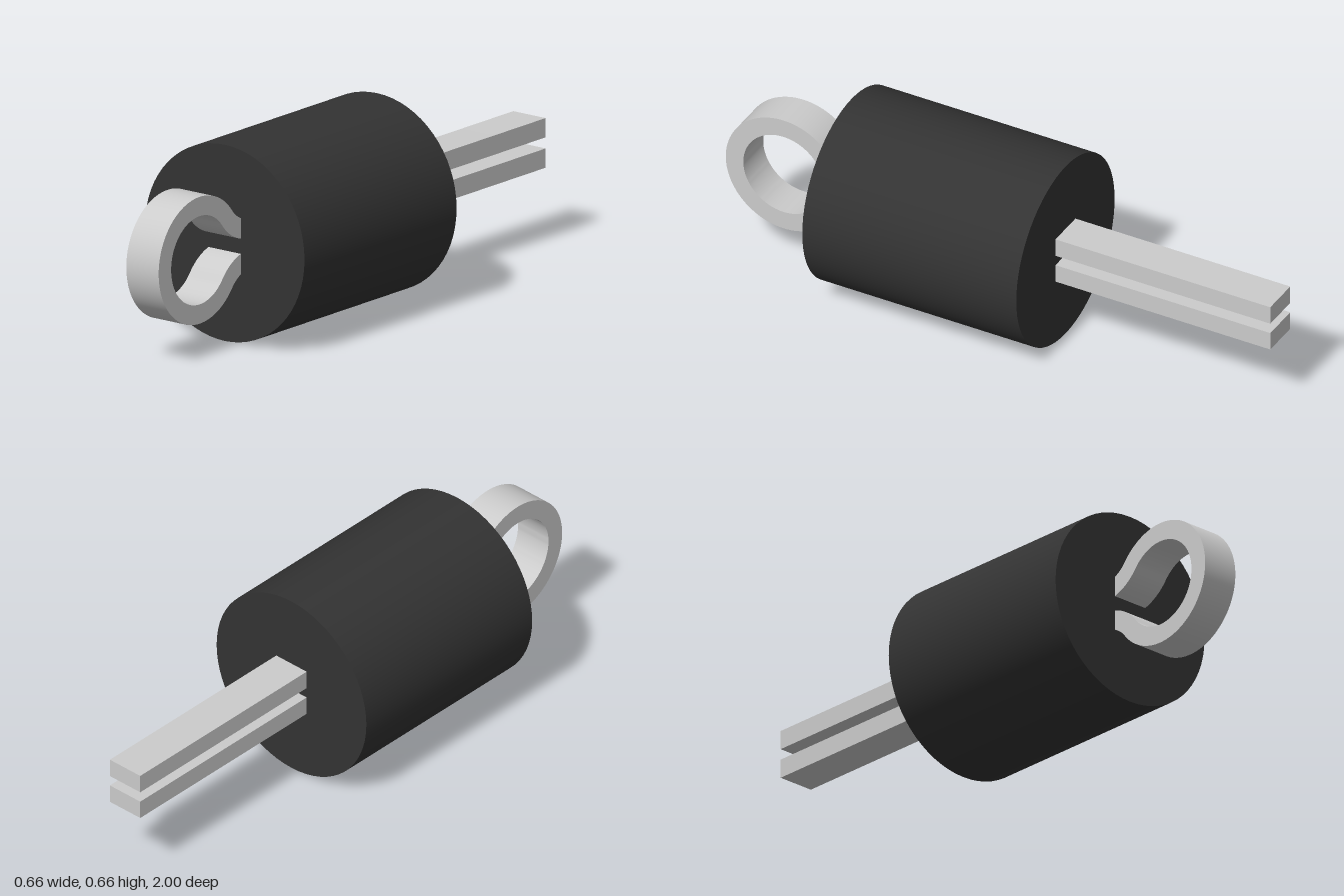
import * as THREE from 'three';
import { toCreasedNormals } from 'three/addons/utils/BufferGeometryUtils.js';

const AXIS_Y = 0.328;

// Closed outline of a bent strip: two parallel legs opening into a round eye
function pinShape() {
  const outer = 0.083, t = 0.0645, eyeZ = 0.788, R = 0.212, bend = 0.12, end = -1;
  const c = outer + bend;                        // height of the bend centres
  const dz = Math.sqrt((R + bend) ** 2 - c * c);
  const bz = eyeZ - dz;                          // position of the bend centres
  const f = Math.atan2(-c, dz), a = Math.atan2(c, -dz), q = Math.PI / 2;
  const s = new THREE.Shape();
  // outside
  s.moveTo(end, outer);
  s.lineTo(bz, outer);
  s.absarc(bz, c, bend, -q, f, false);
  s.absarc(eyeZ, 0, R, a, -a, true);
  s.absarc(bz, -c, bend, -f, q, false);
  s.lineTo(end, -outer);
  // inside
  s.lineTo(end, -outer + t);
  s.lineTo(bz, -outer + t);
  s.absarc(bz, -c, bend + t, q, -f, true);
  s.absarc(eyeZ, 0, R - t, -a, a, false);
  s.absarc(bz, c, bend + t, f, -q, true);
  s.lineTo(end, outer - t);
  s.closePath();
  return s;
}

export function createModel() {
  const group = new THREE.Group();

  // Round body lying along z
  const bodyGeo = new THREE.CylinderGeometry(AXIS_Y, AXIS_Y, 0.786, 64);
  bodyGeo.rotateX(Math.PI / 2);
  const body = new THREE.Mesh(bodyGeo, new THREE.MeshStandardMaterial({ color: 0x333333 }));
  body.name = 'body';
  body.position.set(0, AXIS_Y, 0.182);
  group.add(body);

  // Flat split pin through the body
  const width = 0.133;
  let pinGeo = new THREE.ExtrudeGeometry(pinShape(), { depth: width, bevelEnabled: false, curveSegments: 40 });
  pinGeo.translate(0, 0, -width / 2);
  pinGeo.rotateY(-Math.PI / 2);
  pinGeo = toCreasedNormals(pinGeo, 0.6);
  const pin = new THREE.Mesh(pinGeo, new THREE.MeshStandardMaterial({ color: 0xcccccc }));
  pin.name = 'splitPin';
  pin.position.y = AXIS_Y;
  group.add(pin);

  return group;
}
